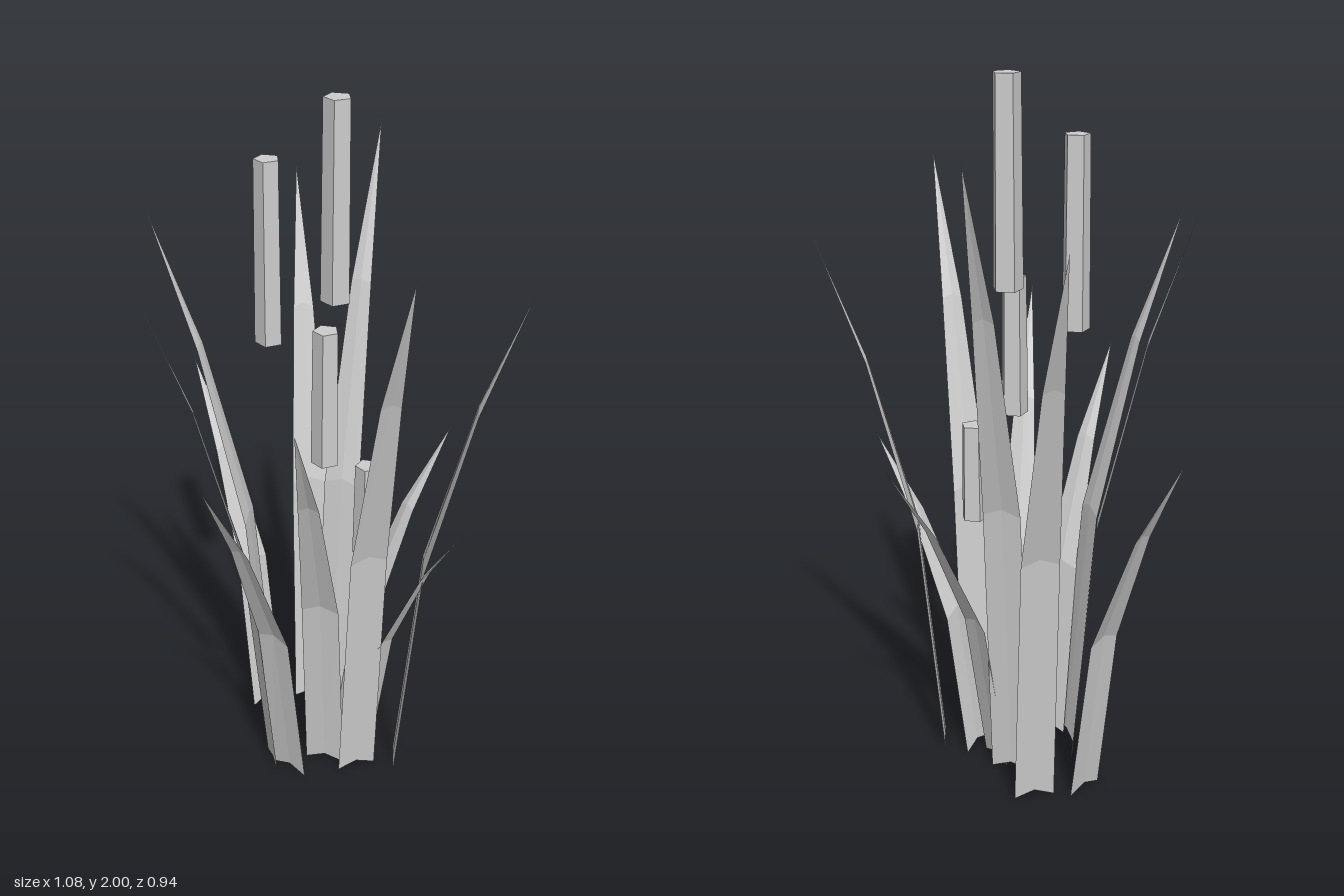
import * as THREE from 'three';

const gray = new THREE.MeshStandardMaterial({ color: 0xcccccc });
gray.name = 'plainGray';
gray.side = THREE.DoubleSide;

// Root x, root z, tip x, tip z, tip height
const LEAVES = [
  [-0.12, -0.22, -0.34, -0.477, 1.66],
  [-0.23, -0.122, -0.54, -0.22, 1.1],
  [-0.14, -0.022, -0.443, 0.096, 1.69],
  [-0.055, 0.118, -0.28, 0.37, 1.6],
  [0.008, 0.12, -0.025, 0.468, 1.15],
  [0.075, 0.027, 0.185, 0.36, 1.32],
  [0.172, 0.002, 0.423, 0.208, 1.72],
  [0.155, -0.058, 0.48, -0.045, 0.94],
  [0.253, -0.08, 0.537, -0.24, 1.57],
  [0.07, -0.095, 0.235, -0.4, 1.01],
  [0.005, -0.126, -0.063, -0.477, 1.84],
];

// Centre x, centre z, bottom, top, bottom radius
const HEADS = [
  [0.006, -0.128, 1.45, 2.0, 0.042],
  [-0.139, -0.023, 1.335, 1.845, 0.039],
  [0.071, 0.028, 1.05, 1.44, 0.039],
  [0.157, -0.053, 0.745, 1.025, 0.038],
];

// Leaf stations: outward fraction, height fraction, half width, midrib lift
const STATIONS = [
  [0, 0, 0.057, 0.02],
  [0.2, 0.455, 0.053, 0.02],
  [0.59, 0.77, 0.029, 0.012],
  [1, 1, 0, 0],
];

// Creased blade of two columns that bends outward to a point
function leafGeometry([x0, z0, x1, z1, height]) {
  const dx = x1 - x0, dz = z1 - z0, len = Math.hypot(dx, dz);
  const rows = STATIONS.map(([out, up, half, lift]) => [-1, 0, 1].map((side) => [
    x0 + dx * out - (dz / len) * half * side,
    height * up + (side === 0 ? lift : 0),
    z0 + dz * out + (dx / len) * half * side,
  ]));
  const points = [];
  for (let i = 0; i < rows.length - 1; i++) {
    for (let j = 0; j < 2; j++) {
      const [a, b] = [rows[i][j], rows[i][j + 1]];
      const [c, d] = [rows[i + 1][j], rows[i + 1][j + 1]];
      points.push(...a, ...b, ...c);
      if (i < rows.length - 2) points.push(...b, ...d, ...c);
    }
  }
  const geometry = new THREE.BufferGeometry();
  geometry.setAttribute('position', new THREE.Float32BufferAttribute(points, 3));
  geometry.computeVertexNormals();
  return geometry;
}

// Five-sided seed head, slightly narrower at the top
function headGeometry([x, z, bottom, top, radius]) {
  const geometry = new THREE.CylinderGeometry(radius * 0.9, radius, top - bottom, 5)
    .rotateY(Math.PI / 2)
    .translate(x, (top + bottom) / 2, z)
    .toNonIndexed();
  geometry.computeVertexNormals();
  return geometry;
}

export function createModel() {
  const model = new THREE.Group();
  model.name = 'reedClump';
  const add = (name, geometry) => {
    const mesh = new THREE.Mesh(geometry, gray);
    mesh.name = name;
    model.add(mesh);
  };
  LEAVES.forEach((leaf, i) => add(`leaf${i + 1}`, leafGeometry(leaf)));
  HEADS.forEach((head, i) => add(`seedHead${i + 1}`, headGeometry(head)));
  return model;
}
